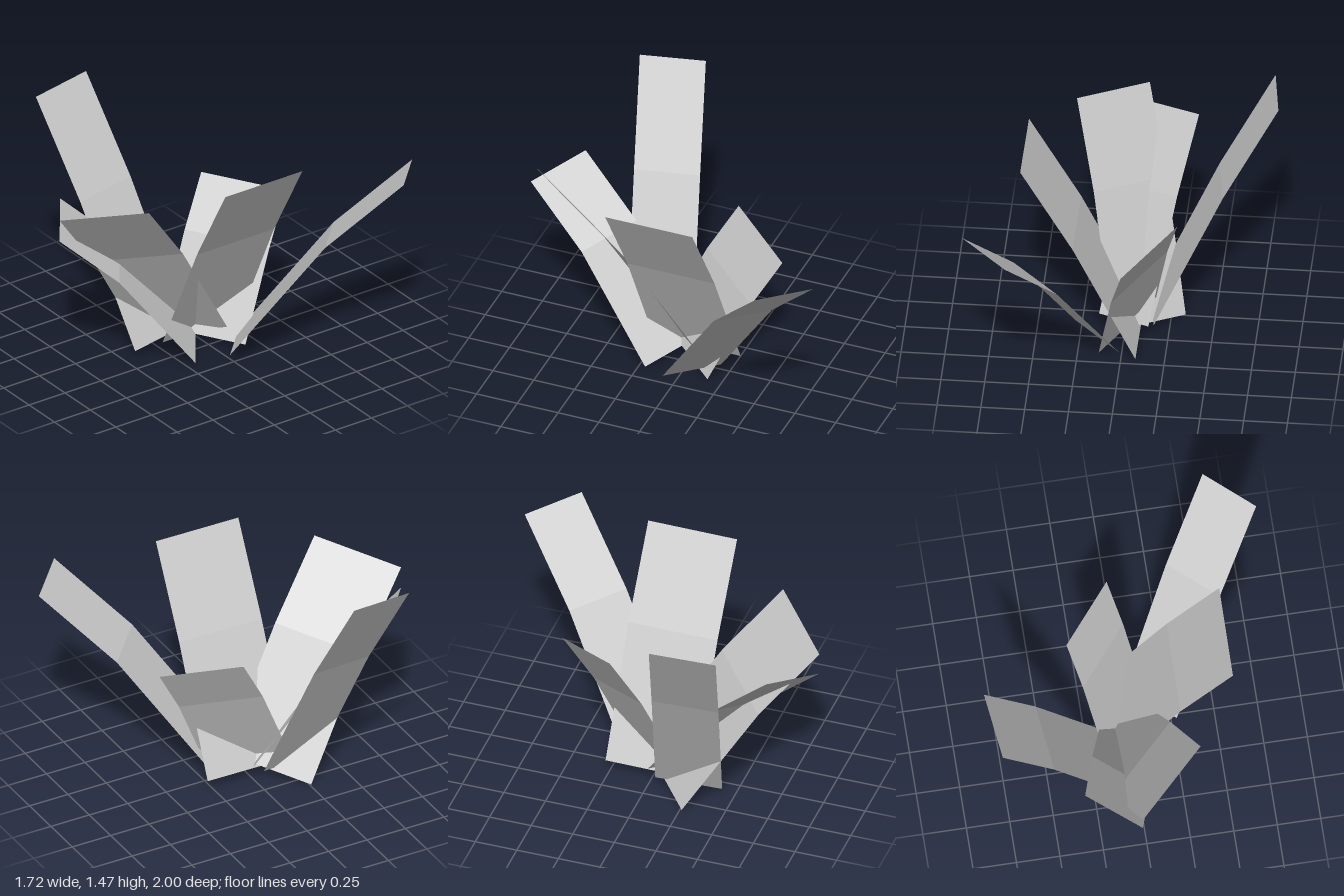
import * as THREE from 'three';

// Each blade: one long edge (base, bend, tip) and the vector across to the other edge.
const BLADES = [
  { name: 'rightBlade', edge: [[-0.09, 0.06, -0.28], [0.27, 0.79, -0.265], [0.57, 1.3, -0.25]], across: [-0.003, -0.003, 0.535] },
  { name: 'backRightBlade', edge: [[0.01, 0.045, -0.2], [0.325, 0.74, -0.64], [0.59, 1.15, -1]], across: [0.27, 0.03, 0.25] },
  { name: 'leftBlade', edge: [[-0.165, 0.07, 0.045], [-0.55, 0.9, 0.155], [-0.86, 1.47, 0.245]], across: [0.05, -0.025, 0.385] },
  { name: 'frontRightBlade', edge: [[0.055, 0.115, -0.09], [0.2, 0.78, 0.32], [0.325, 1.2, 0.645]], across: [-0.385, -0.11, 0.35] },
  { name: 'frontLeftBlade', edge: [[-0.14, 0.1, -0.01], [-0.265, 0.7, 0.43], [-0.36, 1.035, 0.78]], across: [0.3, -0.08, 0.215] },
  { name: 'backLeftBlade', edge: [[0.13, 0.01, -0.165], [0.04, 0.525, -0.395], [-0.03, 0.815, -0.56]], across: [-0.29, 0.11, 0.385] },
];

// Flat strip with a row of two corners for every point of the edge
function bladeGeometry(edge, across) {
  const positions = [];
  const indices = [];
  edge.forEach((p, i) => {
    positions.push(...p, ...p.map((v, k) => v + across[k]));
    if (i > 0) {
      const a = 2 * (i - 1);
      indices.push(a, a + 1, a + 3, a, a + 3, a + 2);
    }
  });
  const indexed = new THREE.BufferGeometry();
  indexed.setAttribute('position', new THREE.Float32BufferAttribute(positions, 3));
  indexed.setIndex(indices);
  const geometry = indexed.toNonIndexed();
  geometry.computeVertexNormals();
  return geometry;
}

export function createModel() {
  const group = new THREE.Group();
  group.name = 'grassTuft';
  const grey = new THREE.MeshStandardMaterial({ name: 'light grey', color: 0xc8c8c8, side: THREE.DoubleSide, flatShading: true });
  for (const { name, edge, across } of BLADES) {
    const blade = new THREE.Mesh(bladeGeometry(edge, across), grey);
    blade.name = name;
    group.add(blade);
  }
  return group;
}
